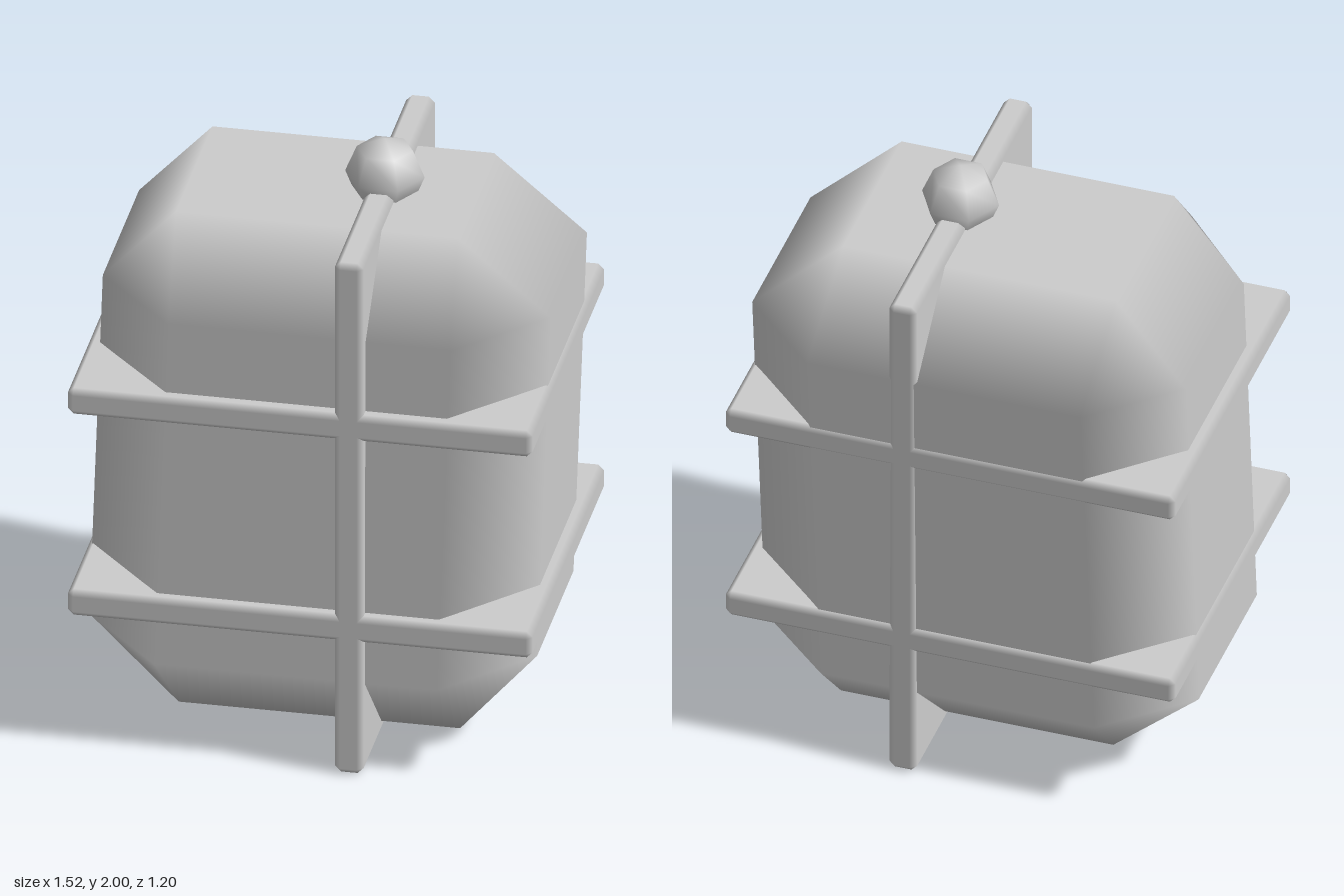
import * as THREE from 'three';

const paleGrey = new THREE.MeshStandardMaterial({ color: 0xcccccc });
paleGrey.name = 'paleGrey';

// Box with one-step bevels on all edges: 24 shared vertices, four per main face.
// Each vertex keeps its main face's normal, so faces shade flat and bevels roll.
// outer: half sizes; inner: half sizes of the flat faces; warp(p, axis, signs) may move vertices.
function bevelBox(outer, inner, warp) {
  const position = [], normal = [], index = [];
  const id = (axis, s) => axis * 8 + (s[0] > 0 ? 4 : 0) + (s[1] > 0 ? 2 : 0) + (s[2] > 0 ? 1 : 0);
  const signs = [];
  for (const x of [-1, 1]) for (const y of [-1, 1]) for (const z of [-1, 1]) signs.push([x, y, z]);
  for (let axis = 0; axis < 3; axis++) {
    for (const s of signs) {
      const p = s.map((sign, k) => sign * (k === axis ? outer[k] : inner[k]));
      if (warp) warp(p, axis, s);
      position.push(...p);
      normal.push(...s.map((sign, k) => (k === axis ? sign : 0)));
    }
  }
  const vertex = (i) => new THREE.Vector3().fromArray(position, i * 3);
  const triangle = (a, b, c) => {
    const [A, B, C] = [a, b, c].map(vertex);
    const n = B.clone().sub(A).cross(C.clone().sub(A));
    if (n.dot(A.add(B).add(C)) < 0) index.push(a, c, b);
    else index.push(a, b, c);
  };
  const quad = (a, b, c, d) => { triangle(a, b, c); triangle(a, c, d); };
  for (let a = 0; a < 3; a++) {
    const b = (a + 1) % 3, c = (a + 2) % 3;
    const at = (axis, i, j, k) => {
      const s = [];
      s[a] = i; s[b] = j; s[c] = k;
      return id(axis, s);
    };
    for (const i of [-1, 1]) {
      // main face
      quad(at(a, i, -1, -1), at(a, i, 1, -1), at(a, i, 1, 1), at(a, i, -1, 1));
      // edge bevels between faces a and b
      for (const j of [-1, 1]) quad(at(a, i, j, -1), at(a, i, j, 1), at(b, i, j, 1), at(b, i, j, -1));
    }
  }
  // corner triangles
  for (const s of signs) triangle(id(0, s), id(1, s), id(2, s));

  const geometry = new THREE.BufferGeometry();
  geometry.setAttribute('position', new THREE.Float32BufferAttribute(position, 3));
  geometry.setAttribute('normal', new THREE.Float32BufferAttribute(normal, 3));
  geometry.setIndex(index);
  return geometry;
}

export function createModel() {
  const model = new THREE.Group();
  model.name = 'cagedLantern';
  const add = (name, geometry, x, y, z) => {
    const mesh = new THREE.Mesh(geometry, paleGrey);
    mesh.name = name;
    mesh.position.set(x, y, z);
    model.add(mesh);
  };

  // Rounded body, its sides leaning slightly toward +x
  const body = bevelBox([0.732, 0.89, 0.57], [0.46, 0.617, 0.295], (p, axis, s) => {
    p[0] += axis === 1 ? -0.004 * s[1] : 0.022 * s[1];
    p[2] += [-0.035, -0.005, -0.015][axis];
    if (axis === 2) p[2] -= 0.004 * s[1];
  });
  add('body', body, 0, 0.93, 0);

  // Thin bevelled frames cutting through the body
  const frame = (name, half, x, y) =>
    add(name, bevelBox(half, half.map((h) => h - 0.02)), x, y, 0);
  frame('upperBand', [0.76, 0.047, 0.6], 0, 1.255);
  frame('lowerBand', [0.76, 0.047, 0.6], 0, 0.525);
  frame('uprightBand', [0.047, 0.925, 0.6], 0.16, 0.925);

  // Faceted knob on top
  add('knob', new THREE.SphereGeometry(0.13, 6, 4), 0.16, 1.87, 0);

  return model;
}
